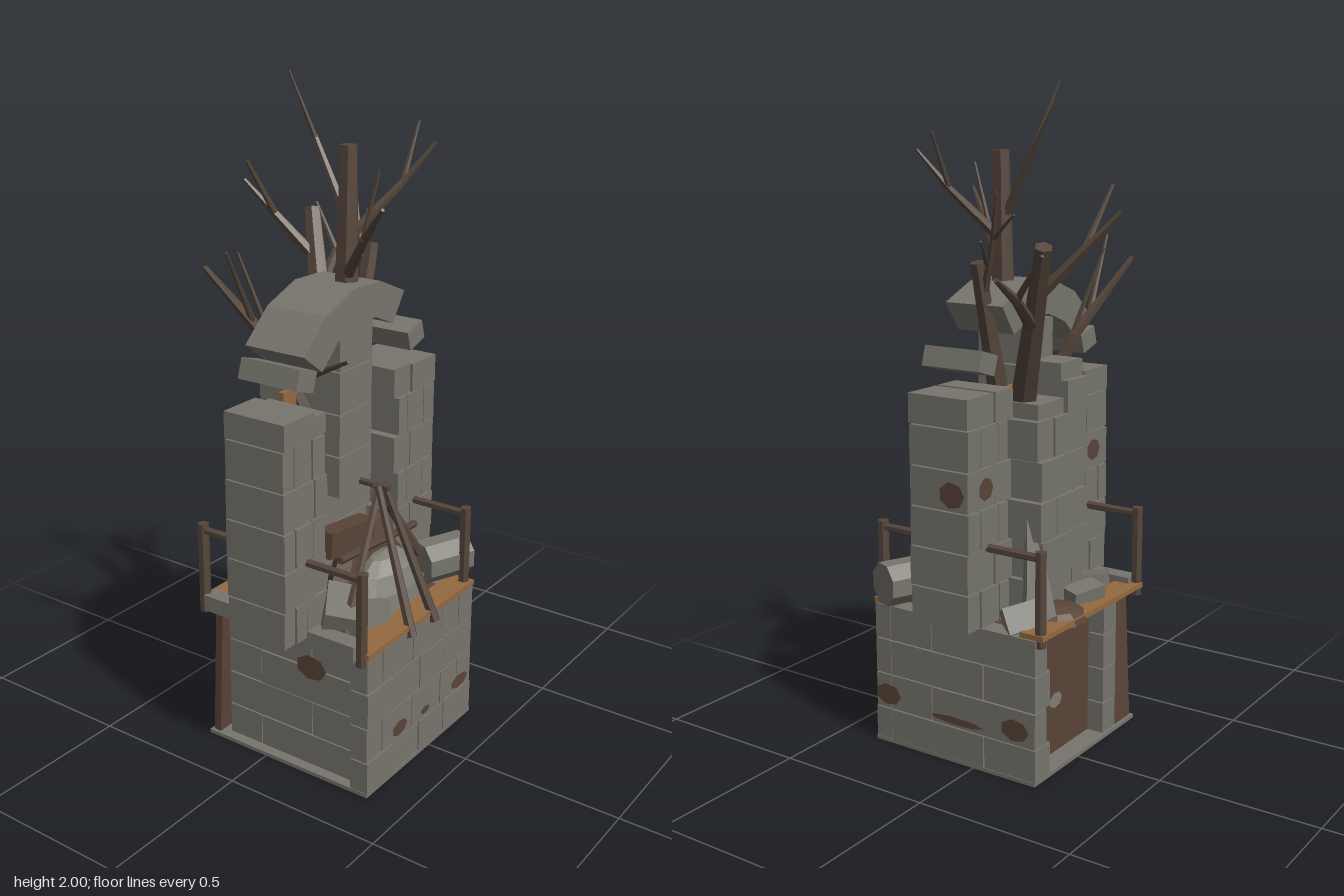
import * as THREE from 'three';

const mat = (name, color) => {
  const m = new THREE.MeshStandardMaterial({ color, flatShading: true });
  m.name = name;
  return m;
};

export function createModel() {
  const root = new THREE.Group();
  root.name = 'ruinedTower';
  const stone = mat('stone', 0x77756c);
  const paleStone = mat('paleStone', 0x807e75);
  const bark = mat('bark', 0x55463b);
  const plank = mat('plank', 0x94693f);
  const dirt = mat('dirt', 0x5a4438);

  let seed = 7;
  const rnd = () => (seed = (seed * 16807) % 2147483647) / 2147483647;

  const group = (name) => {
    const g = new THREE.Group();
    g.name = name;
    root.add(g);
    return g;
  };
  const add = (g, name, geo, m) => {
    const mesh = new THREE.Mesh(geo, m);
    mesh.name = name;
    g.add(mesh);
    return mesh;
  };
  // Box given by its limits
  const block = (g, name, m, x0, x1, y0, y1, z0, z1) => {
    const b = add(g, name, new THREE.BoxGeometry(x1 - x0, y1 - y0, z1 - z0), m);
    b.position.set((x0 + x1) / 2, (y0 + y1) / 2, (z0 + z1) / 2);
    return b;
  };
  // Tapered pole between two points
  const pole = (g, name, m, a, b, r0, r1, sides = 6) => {
    const p = new THREE.Vector3(...a), q = new THREE.Vector3(...b);
    const d = q.clone().sub(p);
    const mesh = add(g, name, new THREE.CylinderGeometry(r1, r0, d.length(), sides), m);
    mesh.position.copy(p).addScaledVector(d, 0.5);
    mesh.quaternion.setFromUnitVectors(new THREE.Vector3(0, 1, 0), d.normalize());
    return mesh;
  };
  const G = 0.004;

  // Base: earth core, floor slab and four brick courses
  const base = group('base');
  block(base, 'floorSlab', stone, -0.34, 0.243, 0, 0.012, -0.22, 0.37);
  block(base, 'earthCore', dirt, -0.28, 0.21, 0.012, 0.445, -0.155, 0.34);
  const h = 0.1125;
  for (let r = 0; r < 4; r++) {
    const y0 = r * h + G / 2, y1 = (r + 1) * h - G / 2;
    const cuts = r % 2 ? [-0.34, -0.26, -0.1, 0.06, 0.16, 0.243] : [-0.34, -0.2, -0.06, 0.08, 0.243];
    for (let i = 0; i + 1 < cuts.length; i++)
      block(base, 'frontBrick', stone, cuts[i] + G / 2, cuts[i + 1] - G / 2, y0, y1, 0.31, 0.37 - rnd() * 0.004);
    const zc = r % 2 ? [-0.22, 0.15, 0.308] : [-0.22, -0.04, 0.308];
    for (let i = 0; i < 2; i++) {
      block(base, 'leftBrick', stone, 0.18, 0.243 - rnd() * 0.003, y0, y1, zc[i] + (i ? G : 0), zc[i + 1]);
      block(base, 'rightBrick', stone, -0.305 - rnd() * 0.004, -0.25, y0, y1, zc[i] + (i ? G : 0.06), zc[i + 1]);
    }
    block(base, 'backPillarBrick', stone, -0.235, -0.16, y0, y1, -0.21, -0.14);
    block(base, 'backCornerBrick', stone, 0.16 + (r % 2) * 0.02, 0.238, y0, y1, -0.219, -0.14);
  }
  // Loose earth slab leaning on the back corner
  const slab = block(base, 'leaningSlab', dirt, -0.33, -0.24, 0.012, 0.44, -0.2, -0.175);
  slab.rotation.x = 0.05;

  // Worn splotches set on the bricks: position, size and turn
  const patches = group('wornPatches');
  const splotch = (m, x, y, z, w, t, turn) => {
    const p = add(patches, 'patch', new THREE.CircleGeometry(0.5, 7), m);
    p.position.set(x, y, z);
    p.scale.set(w, t, 1);
    p.rotation.y = turn;
  };
  for (const [x, y, w, t] of [[-0.17, 0.15, 0.08, 0.05], [0.17, 0.145, 0.1, 0.045], [-0.03, 0.14, 0.05, 0.025]])
    splotch(dirt, x, y, 0.371, w, t, 0);
  for (const [z, y, w, t] of [[0.32, 0.16, 0.1, 0.07], [-0.15, 0.16, 0.1, 0.07], [0.06, 0.135, 0.2, 0.025]])
    splotch(dirt, 0.244, y, z, w, t, Math.PI / 2);
  splotch(dirt, 0.3225, 0.86, 0.01, 0.09, 0.08, Math.PI / 2);
  splotch(dirt, -0.31, 0.34, 0.15, 0.11, 0.08, -Math.PI / 2);
  splotch(dirt, -0.35, 0.87, -0.0515, 0.08, 0.07, Math.PI);
  splotch(dirt, 0.24, 0.87, -0.0515, 0.07, 0.07, Math.PI);
  splotch(paleStone, 0.03, 0.18, -0.1565, 0.07, 0.05, Math.PI);

  // Two side columns of the gate
  const columns = group('columns');
  const ys = [0.455, 0.57, 0.69, 0.81, 0.93, 1.05, 1.15];
  for (let r = 0; r < 6; r++) {
    const left = [[0.12, 0.17, 0.26, 0.322], [0.1, 0.19, 0.322]][r % 2];
    const right = r === 0 ? [-0.442, -0.39, -0.34, -0.24] : [[-0.442, -0.39, -0.31, -0.25], [-0.442, -0.3, -0.24]][r % 2];
    for (const c of [left, right])
      for (let i = 0; i + 1 < c.length; i++)
        block(columns, 'columnBlock', stone, c[i] + G / 2, c[i + 1] - G / 2, ys[r] + G / 2,
          ys[r + 1] - G / 2 - (r === 5 ? rnd() * 0.04 : 0), -0.05 + rnd() * 0.008, 0.163 - rnd() * 0.008);
  }

  // Low wall between the columns and the stack behind it
  const middle = group('middleStack');
  for (let r = 0; r < 6; r++) {
    const c = r % 2 ? [-0.155, -0.04, 0.1] : [-0.155, -0.09, 0.02, 0.11];
    for (let i = 0; i + 1 < c.length; i++)
      block(middle, 'stackBlock', stone, c[i] + G / 2, c[i + 1] - G / 2, ys[r] + G / 2,
        ys[r + 1] - G / 2 - (r === 5 && i ? 0.05 : 0), -0.152 + rnd() * 0.02, -0.012);
    if (r < 4) block(middle, 'lowWallBlock', stone, -0.2, 0.12, ys[r] + G / 2, Math.min(ys[r + 1], 0.88) - G / 2, -0.01, 0.06);
  }
  for (let r = 0; r < 4; r++)
    block(middle, 'centrePierBlock', stone, -0.14, 0.02, 0.81 + r * 0.128, 0.934 + r * 0.128, -0.02 - (r % 2) * 0.01, 0.13);
  block(middle, 'capBlock', stone, -0.15, -0.03, 1.15, 1.2, -0.13, -0.01);
  block(middle, 'woodPanel', plank, -0.24, 0.12, 0.88, 1.135, -0.011, 0.006);

  // Broken arch, made of wedge stones
  const arch = group('arch');
  for (let i = 0; i < 4; i++) {
    const a0 = 0.98 + i * 0.38, a1 = a0 + 0.38;
    const s = new THREE.Shape([[0.255, a0], [0.358, a0], [0.358, a1], [0.255, a1]].map(([r, a]) =>
      new THREE.Vector2(-0.06 + r * Math.cos(a), 1.08 + r * Math.sin(a))));
    add(arch, 'archStone', new THREE.ExtrudeGeometry(s, { depth: 0.2, bevelEnabled: false }), stone).position.z = -0.04;
  }
  for (const [x, t] of [[-0.335, -0.3], [0.21, 0.3]]) {
    const b = block(arch, 'fallingArchStone', stone, x - 0.04, x + 0.04, 1.195, 1.255, -0.04, 0.16);
    b.rotation.z = t;
  }

  // Dead trees: [from, to, start radius, end radius]
  const tree = (name, limbs) => {
    const g = group(name);
    limbs.forEach(([a, b, r0, r1], i) => pole(g, i ? 'branch' : 'trunk', bark, a, b, r0, r1));
  };
  tree('tallTree', [
    [[-0.04, 1.3, 0.08], [-0.03, 1.81, 0.08], 0.04, 0.026],
    [[-0.035, 1.6, 0.08], [-0.01, 1.82, -0.05], 0.016, 0.009],
    [[-0.01, 1.81, -0.045], [-0.06, 2.0, -0.1], 0.008, 0.003],
    [[-0.01, 1.81, -0.045], [0.005, 1.93, -0.12], 0.008, 0.003],
    [[-0.04, 1.44, 0.08], [-0.15, 1.59, 0.22], 0.018, 0.011],
    [[-0.15, 1.59, 0.22], [-0.235, 1.69, 0.33], 0.011, 0.005],
    [[-0.15, 1.58, 0.21], [-0.14, 1.77, 0.255], 0.009, 0.004],
    [[-0.03, 1.55, 0.08], [0.09, 1.7, 0.18], 0.018, 0.011],
    [[0.09, 1.7, 0.18], [0.15, 1.81, 0.25], 0.011, 0.005],
    [[0.09, 1.7, 0.18], [0.17, 1.86, 0.18], 0.009, 0.004],
  ]);
  tree('leaningTree', [
    [[0.02, 1.02, -0.02], [0.22, 1.56, -0.23], 0.046, 0.026],
    [[0.13, 1.32, -0.14], [0.29, 1.42, -0.19], 0.02, 0.014],
    [[0.29, 1.42, -0.19], [0.43, 1.49, -0.22], 0.014, 0.007],
    [[0.29, 1.42, -0.19], [0.35, 1.55, -0.31], 0.011, 0.005],
    [[0.17, 1.42, -0.18], [0.125, 1.55, -0.3], 0.02, 0.014],
    [[0.125, 1.55, -0.3], [0.09, 1.65, -0.39], 0.013, 0.006],
    [[0.125, 1.55, -0.3], [0.03, 1.72, -0.33], 0.011, 0.005],
  ]);
  tree('snag', [
    [[0.03, 1.0, 0.03], [0.155, 1.5, 0.035], 0.036, 0.022],
    [[0.13, 1.4, 0.03], [0.17, 1.57, -0.03], 0.014, 0.009],
    [[0.17, 1.57, -0.03], [0.21, 1.7, -0.07], 0.009, 0.004],
    [[0.17, 1.57, -0.03], [0.2, 1.64, -0.12], 0.008, 0.003],
    [[0.16, 1.5, 0.0], [0.27, 1.57, -0.06], 0.008, 0.003],
  ]);
  tree('rightTree', [
    [[-0.13, 1.0, 0.035], [-0.2, 1.26, -0.07], 0.032, 0.02],
    [[-0.2, 1.26, -0.07], [-0.335, 1.49, -0.19], 0.02, 0.008],
    [[-0.24, 1.33, -0.1], [-0.37, 1.55, -0.08], 0.01, 0.004],
    [[-0.18, 1.2, -0.05], [-0.25, 1.52, -0.14], 0.011, 0.004],
    [[-0.16, 1.15, 0.0], [-0.27, 1.28, 0.25], 0.012, 0.005],
  ]);

  // Plank walkways, posts and hand rails
  const rails = group('railings');
  block(rails, 'frontPlank', plank, -0.34, 0.24, 0.45, 0.466, 0.29, 0.371);
  block(rails, 'backPlank', plank, -0.34, 0.24, 0.45, 0.466, -0.245, -0.165);
  for (const x of [-0.335, 0.22]) {
    for (const z of [0.345, -0.225]) pole(rails, 'post', bark, [x, 0.425, z], [x, 0.71, z], 0.018, 0.018);
    pole(rails, 'handRail', bark, [x, 0.69, -0.225], [x, 0.69, 0.345], 0.013, 0.013);
  }

  // Tripod of poles in front
  const frame = group('poleFrame');
  for (const [a, b] of [
    [[-0.075, 0.85, 0.22], [-0.12, 0.43, 0.375]], [[-0.045, 0.85, 0.22], [0.005, 0.43, 0.375]],
    [[-0.05, 0.85, 0.21], [-0.285, 0.46, 0.25]], [[-0.07, 0.85, 0.21], [0.105, 0.58, 0.25]],
  ]) pole(frame, 'pole', bark, b, a, 0.017, 0.011);
  pole(frame, 'fallenPole', bark, [-0.22, 0.66, 0.19], [0.2, 0.62, 0.175], 0.012, 0.012);
  pole(frame, 'ridgePole', bark, [-0.06, 0.845, 0.25], [-0.06, 0.845, 0.15], 0.011, 0.011);

  // Rubble heaps: rounded mounds and tilted broken stones
  const rubble = group('rubble');
  const mound = (name, m, x, z, rx, ry, rz) => {
    const geo = new THREE.SphereGeometry(1, 10, 4, 0, Math.PI * 2, 0, Math.PI / 2);
    const b = add(rubble, name, geo, m);
    b.position.set(x, 0.445, z);
    b.scale.set(rx, ry, rz);
  };
  mound('stoneMound', paleStone, 0.0, 0.2, 0.17, 0.17, 0.09);
  mound('earthMound', dirt, 0.02, 0.12, 0.2, 0.26, 0.07);
  mound('backEarthMound', dirt, 0.04, -0.165, 0.1, 0.05, 0.09);
  const chunks = [
    [-0.23, 0.5, 0.21, 0.14, 0.11, 0.12, 0.6], [-0.16, 0.48, 0.25, 0.1, 0.08, 0.08, -0.4],
    [0.15, 0.48, 0.2, 0.12, 0.07, 0.1, 0.3], [-0.24, 0.475, -0.11, 0.13, 0.05, 0.11, 0.4],
    [-0.1, 0.48, -0.17, 0.12, 0.06, 0.07, -0.3], [0.18, 0.48, -0.13, 0.09, 0.08, 0.1, 0.8],
    [-0.327, 0.46, 0.25, 0.055, 0.05, 0.16, 0], [-0.327, 0.46, -0.145, 0.055, 0.05, 0.14, 0],
  ];
  for (const [x, y, z, w, t, d, a] of chunks) {
    const b = add(rubble, 'brokenStone', new THREE.BoxGeometry(w, t, d), stone);
    b.position.set(x, y, z);
    b.rotation.set(a * 0.4, a, a * 0.3);
  }
  const beam = block(rubble, 'earthSlab', dirt, -0.22, 0.0, 0.64, 0.72, 0.1, 0.16);
  beam.rotation.z = -0.12;
  pole(rubble, 'leaningShard', stone, [0.1, 0.46, -0.14], [0.09, 0.79, -0.1], 0.065, 0.012, 4);
  pole(rubble, 'columnDrum', stone, [0.13, 0.53, 0.24], [0.28, 0.53, 0.302], 0.068, 0.068, 8);
  return root;
}
